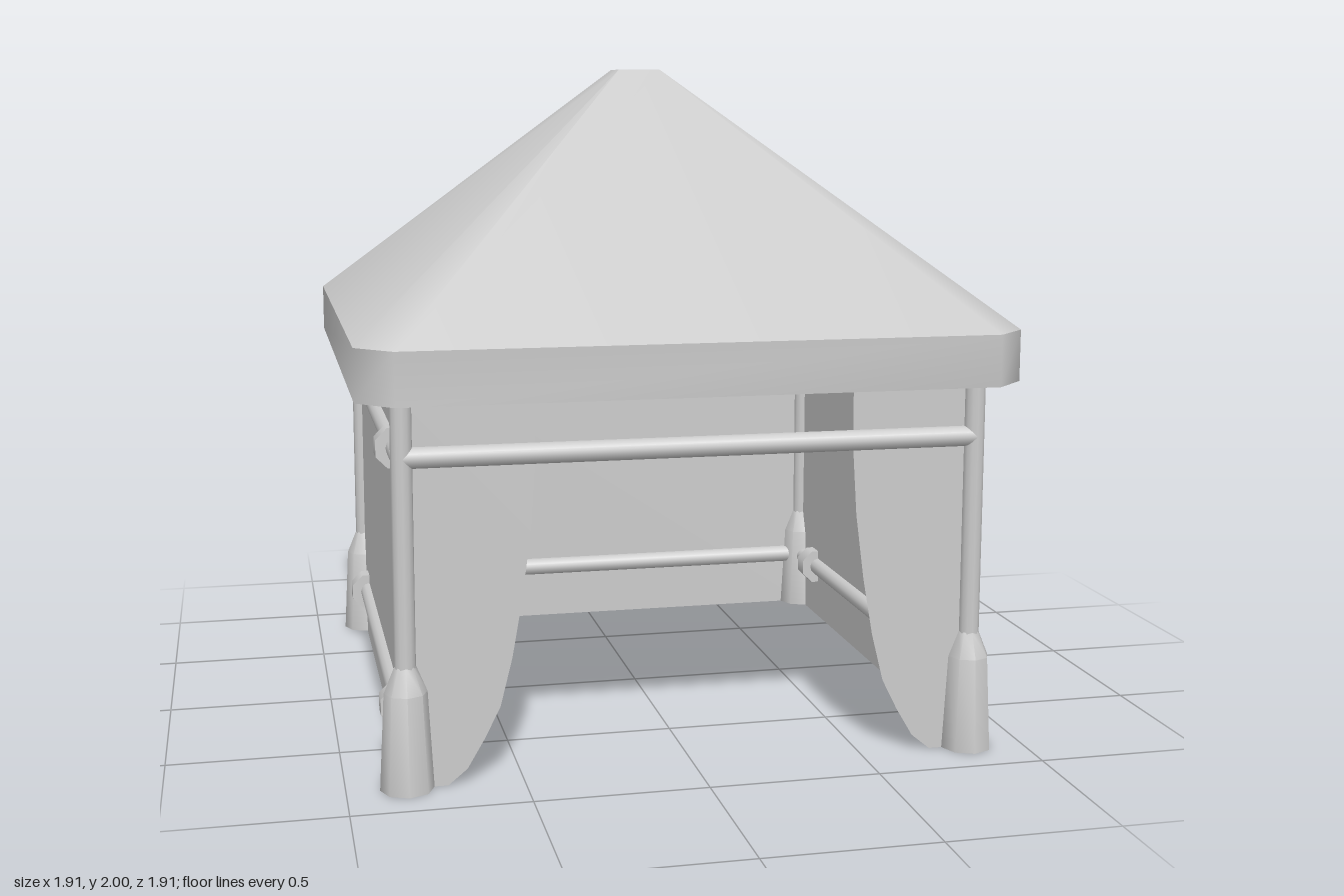
import * as THREE from 'three';
import { toCreasedNormals } from 'three/addons/utils/BufferGeometryUtils.js';

const grey = new THREE.MeshStandardMaterial({ color: 0xcccccc });
const cloth = new THREE.MeshStandardMaterial({ color: 0xcccccc, side: THREE.DoubleSide });
const HALF = 0.83; // post centre and wall plane
const EAVE = 1.1;

function add(parent, name, geometry, material = grey) {
  const mesh = new THREE.Mesh(geometry, material);
  mesh.name = name;
  parent.add(mesh);
  return mesh;
}

// Square outline of half width h with corners cut by c, as eight points
function ring(h, c, y) {
  const points = [];
  let a = [h, h - c], b = [h - c, h];
  for (let k = 0; k < 4; k++) {
    points.push([a[0], y, a[1]], [b[0], y, b[1]]);
    a = [-a[1], a[0]];
    b = [-b[1], b[0]];
  }
  return points;
}

function fromTriangles(triangles) {
  const g = new THREE.BufferGeometry();
  g.setAttribute('position', new THREE.Float32BufferAttribute(triangles.flat(2), 3));
  g.computeVertexNormals();
  return g;
}

function band(low, high) {
  const tris = [];
  for (let i = 0; i < 8; i++) {
    const j = (i + 1) % 8;
    tris.push([low[j], low[i], high[i]]);
    // the top corners meet in a point, so skip empty triangles there
    if (high[i].some((v, k) => Math.abs(v - high[j][k]) > 1e-6)) tris.push([low[j], high[i], high[j]]);
  }
  return tris;
}

function cap(points, up) {
  const tris = [];
  for (let i = 1; i < 7; i++) {
    tris.push(up ? [points[0], points[i + 1], points[i]] : [points[0], points[i], points[i + 1]]);
  }
  return tris;
}

function buildRoof() {
  const roof = new THREE.Group();
  roof.name = 'roof';
  const bottom = ring(0.955, 0.1, EAVE);
  const brim = ring(0.955, 0.1, 1.25);
  const top = ring(0.065, 0, 2);
  add(roof, 'roofBrim', toCreasedNormals(fromTriangles(band(bottom, brim)), 0.82));
  add(roof, 'roofSlopes', toCreasedNormals(fromTriangles(band(brim, top)), 0.82));
  // square top: one point per corner
  const [p, q, r, s] = [top[0], top[2], top[4], top[6]];
  add(roof, 'roofTop', fromTriangles([[p, r, q], [p, s, r]]));
  add(roof, 'roofUnderside', fromTriangles(cap(bottom, false)));
  return roof;
}

function buildPost(x, z) {
  const post = new THREE.Group();
  post.name = 'cornerPost';
  add(post, 'pole', new THREE.CylinderGeometry(0.03, 0.03, 0.8, 12)).position.y = 0.7;
  const profile = [[0, 0], [0.076, 0], [0.061, 0.28], [0.03, 0.355], [0, 0.355]];
  const foot = new THREE.LatheGeometry(profile.map(([a, b]) => new THREE.Vector2(a, b)), 8);
  add(post, 'foot', toCreasedNormals(foot, 0.82));
  post.position.set(x, 0, z);
  return post;
}

// One side of the frame, built facing +z
function buildSide(name, rails, clips) {
  const side = new THREE.Group();
  side.name = name;
  for (const y of rails) {
    const rail = add(side, 'rail', new THREE.CylinderGeometry(0.03, 0.03, HALF * 2, 12));
    rail.rotation.z = Math.PI / 2;
    rail.position.set(0, y, HALF);
    if (!clips) continue;
    for (const x of [-0.64, 0.64]) {
      const g = new THREE.CylinderGeometry(0.063, 0.063, 0.065, 8);
      g.rotateY(Math.PI / 8);
      const clip = add(side, 'railClip', g);
      clip.rotation.z = Math.PI / 2;
      clip.position.set(x, y, HALF);
    }
  }
  return side;
}

function buildWall() {
  const g = new THREE.PlaneGeometry(HALF * 2, EAVE);
  g.translate(0, EAVE / 2, HALF);
  return g;
}

// Drawn-back door curtain
function buildFlap(s) {
  const edge = [[0.46, EAVE], [0.463, 0.9], [0.475, 0.72], [0.5, 0.53], [0.53, 0.36],
    [0.565, 0.22], [0.61, 0.13], [0.66, 0.045], [0.715, 0]];
  const points = [...edge, [HALF, 0], [HALF, EAVE]];
  const g = new THREE.ShapeGeometry(new THREE.Shape(points.map(([x, y]) => new THREE.Vector2(s * x, y))));
  g.translate(0, 0, HALF);
  return g;
}

export function createModel() {
  const tent = new THREE.Group();
  tent.name = 'tent';
  tent.add(buildRoof());

  for (const x of [-HALF, HALF]) for (const z of [-HALF, HALF]) tent.add(buildPost(x, z));

  // front: top rail and two curtains
  const front = buildSide('frontSide', [0.94], false);
  add(front, 'leftFlap', buildFlap(1), cloth);
  add(front, 'rightFlap', buildFlap(-1), cloth);
  tent.add(front);

  // closed sides and back
  [['leftSide', 1, true], ['backSide', 2, false], ['rightSide', 3, true]].forEach(([name, turn, clips]) => {
    const side = buildSide(name, [0.94, 0.187], clips);
    add(side, 'clothWall', buildWall(), cloth);
    side.rotation.y = turn * Math.PI / 2;
    tent.add(side);
  });
  return tent;
}
